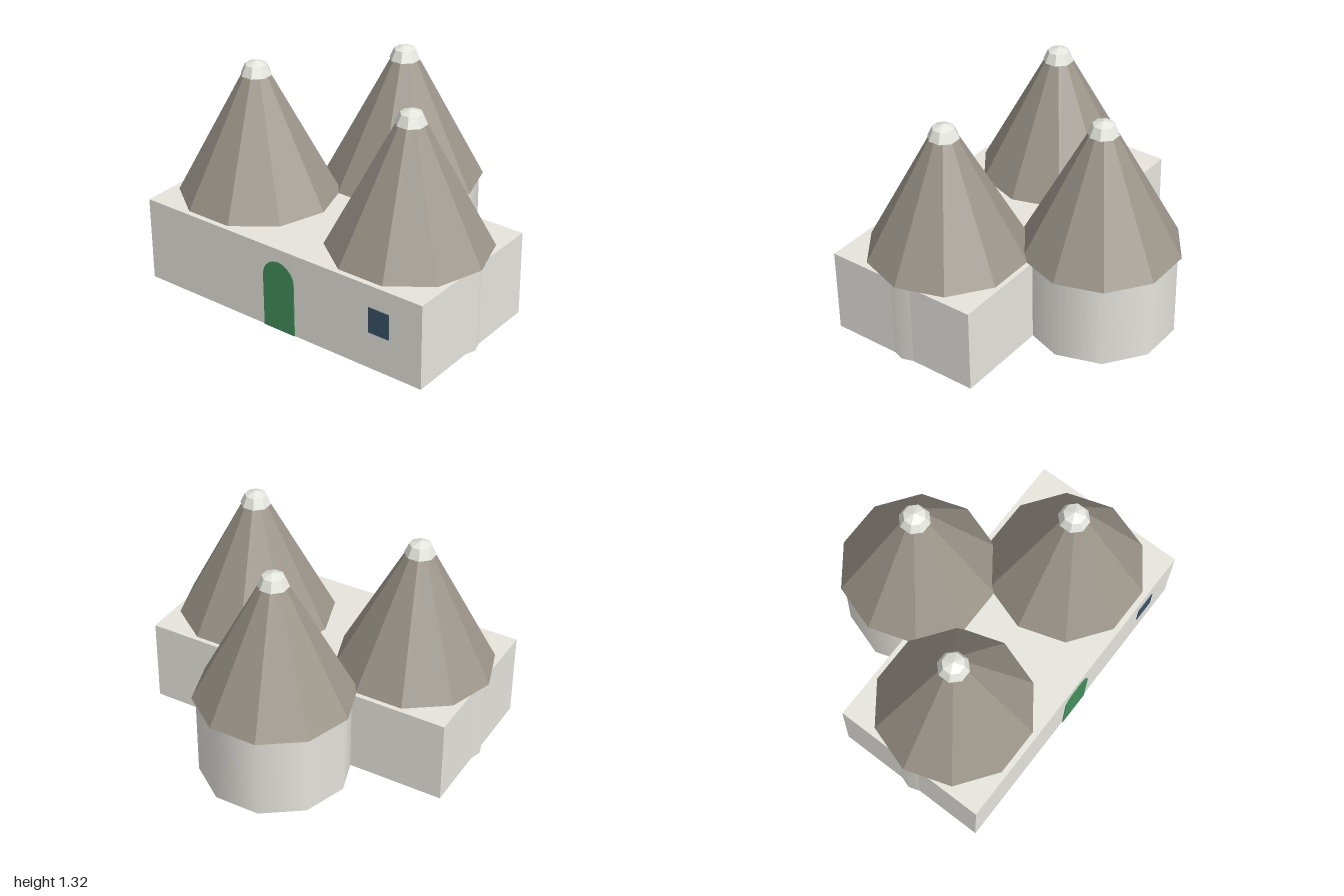
import * as THREE from 'three';

const wall = new THREE.MeshStandardMaterial({ color: 0xe6e4dd, side: THREE.DoubleSide });
wall.name = 'whitewash';
const stone = new THREE.MeshStandardMaterial({ color: 0x9c958a, side: THREE.DoubleSide, flatShading: true });
stone.name = 'roof stone';
const cap = new THREE.MeshStandardMaterial({ color: 0xe6e6e0, flatShading: true });
cap.name = 'cap white';
const green = new THREE.MeshStandardMaterial({ color: 0x43905c });
green.name = 'door green';
const glass = new THREE.MeshStandardMaterial({ color: 0x3a5368 });
glass.name = 'window blue';

const WALL_H = 0.511, FRONT = 0.795, BACK = -0.157;

function add(parent, name, geometry, material, x = 0, y = 0, z = 0) {
  const mesh = new THREE.Mesh(geometry, material);
  mesh.name = name;
  mesh.position.set(x, y, z);
  parent.add(mesh);
  return mesh;
}

// Round room with a ten-sided conical roof and a small eight-sided cap
function addTower(parent, name, x, z) {
  const tower = new THREE.Group();
  tower.name = name;
  tower.position.set(x, 0, z);
  parent.add(tower);
  const roofBase = WALL_H, roofTop = 1.3;
  add(tower, 'roundWall', new THREE.CylinderGeometry(0.445, 0.445, WALL_H, 10, 1, true, Math.PI / 2),
    wall, 0, WALL_H / 2);
  add(tower, 'coneRoof', new THREE.CylinderGeometry(0.05, 0.468, roofTop - roofBase, 10, 1, true, Math.PI / 2),
    stone, 0, (roofBase + roofTop) / 2);
  add(tower, 'capCollar', new THREE.CylinderGeometry(0.063, 0.09, 0.06, 8, 1, false, Math.PI / 8), cap, 0, 1.268);
  add(tower, 'capTip', new THREE.ConeGeometry(0.063, 0.022, 8, 1, true, Math.PI / 8), cap, 0, 1.309);
}

export function createModel() {
  const house = new THREE.Group();
  house.name = 'coneRoofHouse';

  // Main block, open underneath: drop the bottom face
  const block = new THREE.BoxGeometry(1.91, WALL_H, FRONT - BACK);
  const index = Array.from(block.index.array);
  index.splice(18, 6);
  block.setIndex(index);
  block.clearGroups();
  add(house, 'mainBlock', block, wall, 0, WALL_H / 2, (FRONT + BACK) / 2);

  // Two front towers and one behind
  for (const side of [-1, 1]) addTower(house, side > 0 ? 'leftTower' : 'rightTower', side * 0.532, 0.317);
  addTower(house, 'backTower', 0, -0.361);

  // Arched door
  const arch = new THREE.Shape();
  arch.moveTo(-0.107, 0);
  arch.lineTo(0.107, 0);
  arch.lineTo(0.107, 0.325);
  arch.absarc(0, 0.325, 0.107, 0, Math.PI, false);
  add(house, 'door', new THREE.ExtrudeGeometry(arch, { depth: 0.005, bevelEnabled: false, curveSegments: 5 }),
    green, 0, 0, FRONT);

  // Small square window
  add(house, 'window', new THREE.BoxGeometry(0.134, 0.154, 0.005), glass, 0.68, 0.302, FRONT + 0.0025);

  return house;
}
